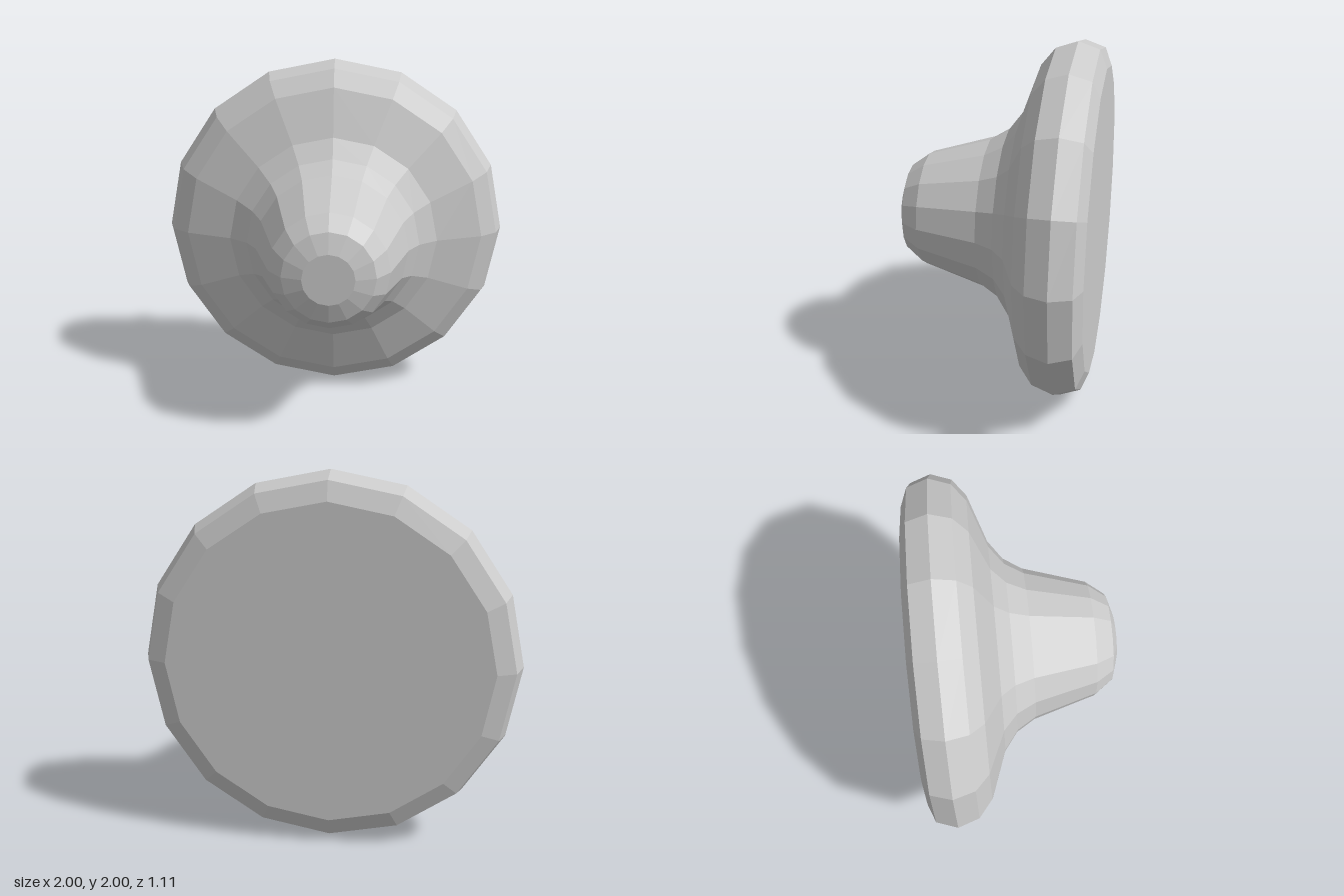
import * as THREE from 'three';

const SIDES = 16;

// Turns [radius, z] pairs, listed back to front, around the z axis
function turned(name, profile, material) {
  const points = profile.map(([r, z]) => new THREE.Vector2(r, z));
  const geometry = new THREE.LatheGeometry(points, SIDES).rotateX(Math.PI / 2);
  const mesh = new THREE.Mesh(geometry, material);
  mesh.name = name;
  mesh.position.y = 1;
  return mesh;
}

export function createModel() {
  const group = new THREE.Group();
  group.name = 'knob';
  const material = new THREE.MeshStandardMaterial({ color: 0xcccccc, flatShading: true });

  // Flat back with its chamfered edge
  group.add(turned('backPlate', [[0, -0.555], [0.86, -0.555], [0.96, -0.515]], material));

  // Rounded rim, flaring up into the neck
  group.add(turned('flange', [
    [0.96, -0.515], [1, -0.4], [0.96, -0.283], [0.865, -0.207],
    [0.6, -0.113], [0.495, -0.035], [0.43, 0.07],
  ], material));

  // Tapered grip with a rounded, flat-topped tip
  group.add(turned('grip', [
    [0.43, 0.07], [0.325, 0.42], [0.25, 0.52], [0.14, 0.555], [0, 0.555],
  ], material));

  return group;
}
